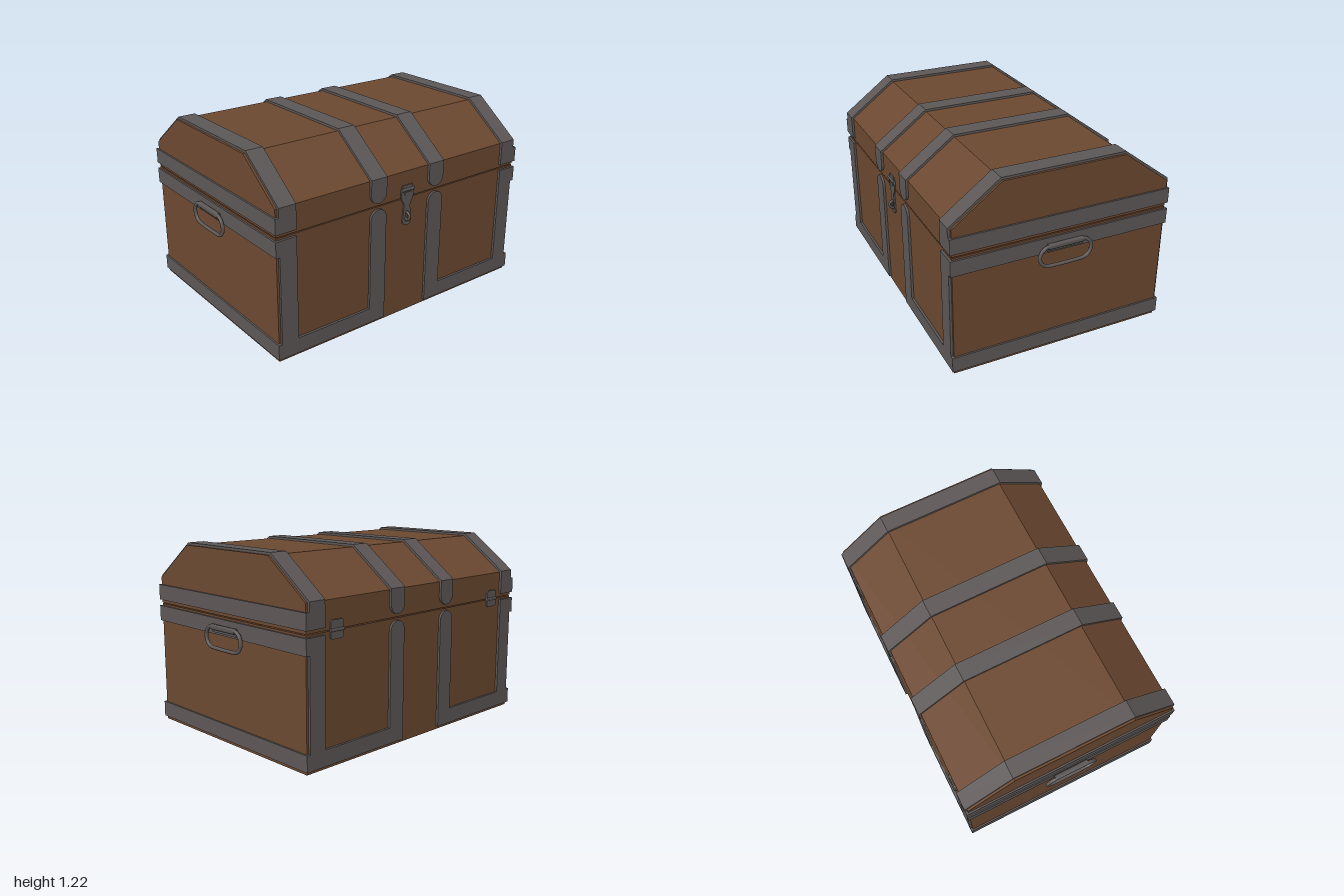
import * as THREE from 'three';

const W = 0.957, D = 0.7075, T = 0.015; // wood half width, wood half depth, strap thickness

export function createModel() {
  const root = new THREE.Group();
  root.name = 'chest';
  const chest = new THREE.Group();
  chest.name = 'chestParts';
  chest.position.z = -0.0125;
  root.add(chest);

  const wood = new THREE.MeshStandardMaterial({ color: 0x6b4830 });
  wood.name = 'brownWood';
  const iron = new THREE.MeshStandardMaterial({ color: 0x5c5756 });
  iron.name = 'greyIron';

  const add = (parent, name, geo, mat, x = 0, y = 0, z = 0) => {
    const m = new THREE.Mesh(geo, mat);
    m.name = name;
    m.position.set(x, y, z);
    parent.add(m);
    return m;
  };
  const plate = (shape, depth) => new THREE.ExtrudeGeometry(shape, { depth, bevelEnabled: false, curveSegments: 16 });
  const polygon = (pts) => new THREE.Shape(pts.map(([x, y]) => new THREE.Vector2(x, y)));

  // Extrude a (z, y) outline along x between x0 and x1
  const alongX = (pts, x0, x1) => {
    const g = plate(polygon(pts), x1 - x0);
    g.rotateY(-Math.PI / 2);
    g.translate(x1, 0, 0);
    return g;
  };
  // Six-sided lid outline; bottom, shoulder and top heights with half depths
  const lidOutline = (y0, d, yS, dTop, yT) =>
    [[-d, y0], [d, y0], [d, yS], [dTop, yT], [-dTop, yT], [-d, yS]];

  // Wooden body and lid with a hairline gap
  add(chest, 'body', new THREE.BoxGeometry(2 * W, 0.793, 2 * D), wood, 0, 0.3965, 0);
  add(chest, 'lid', alongX(lidOutline(0.799, D, 0.97, 0.397, 1.2), -W, W), wood);

  // Straps running over the lid
  const strap = (name, x0, x1, y0) =>
    add(chest, name, alongX(lidOutline(y0, D + T, 0.9775, 0.402, 1.2 + T), x0, x1), iron);
  for (const s of [-1, 1]) {
    const [a, b] = s > 0 ? [0.8275, 0.9425] : [-0.9425, -0.8275];
    strap('outerLidStrap', a, b, 0.82);
    const [c, d] = s > 0 ? [0.1725, 0.2925] : [-0.2925, -0.1725];
    strap('innerLidStrap', c, d, 0.88);
  }

  // Ironwork shared by the front and back
  for (const face of [0, Math.PI]) {
    const side = new THREE.Group();
    side.name = face ? 'backIronwork' : 'frontIronwork';
    side.rotation.y = face;
    chest.add(side);
    for (const s of [-1, 1]) {
      const frame = polygon([
        [0.1725, 0.02], [0.968, 0.02], [0.968, 0.12], [0.9425, 0.12], [0.9425, 0.68], [0.968, 0.68],
        [0.968, 0.78], [0.8275, 0.78], [0.8275, 0.12], [0.2925, 0.12], [0.2925, 0.72],
      ].map(([x, y]) => [s * x, y]));
      frame.absarc(s * 0.2325, 0.72, 0.06, s > 0 ? 0 : Math.PI, s > 0 ? Math.PI : 0, s < 0);
      add(side, 'bodyFrame', plate(frame, T), iron, 0, 0, D);

      // Rounded lower end of the inner lid strap
      const end = new THREE.Shape();
      end.absarc(s * 0.2325, 0.88, 0.06, Math.PI, 2 * Math.PI, false);
      add(side, 'strapEnd', plate(end, T), iron, 0, 0, D);
      // Corner wrap of the lid band
      add(side, 'lidCorner', new THREE.BoxGeometry(0.0255, 0.1, T), iron, s * 0.95525, 0.87, D + T / 2);
    }
  }

  // Bands and hanging handles on both ends
  for (const s of [-1, 1]) {
    for (const y of [0.07, 0.73, 0.87]) {
      add(chest, 'sideBand', new THREE.BoxGeometry(0.011, 0.1, 2 * (D + T)), iron, s * (W + 0.0055), y, 0);
    }
    const handle = new THREE.Group();
    handle.name = 'handle';
    handle.position.set(s * 0.988, 0.667, 0);
    chest.add(handle);
    const pts = [];
    for (const e of [1, -1]) {
      for (let i = 0; i <= 10; i++) {
        const a = -Math.PI / 2 + (i / 10) * Math.PI;
        pts.push(new THREE.Vector3(0, e * Math.sin(a) * 0.066, e * (0.106 + Math.cos(a) * 0.066)));
      }
    }
    add(handle, 'handleRing', new THREE.TubeGeometry(new THREE.CatmullRomCurve3(pts, true), 96, 0.0115, 10, true), iron);
    const barrel = new THREE.CylinderGeometry(0.018, 0.018, 0.235, 16).rotateX(Math.PI / 2);
    add(handle, 'handleBarrel', barrel, iron, -s * 0.007, 0.06, 0);
    add(handle, 'handleMount', new THREE.BoxGeometry(0.014, 0.036, 0.235), iron, -s * 0.016, 0.045, 0);
  }

  // Hinges on the back
  const leaf = new THREE.Shape();
  leaf.moveTo(-0.03, -0.055).lineTo(0.03, -0.055).quadraticCurveTo(0.05, -0.055, 0.05, -0.035)
    .lineTo(0.05, 0.035).quadraticCurveTo(0.05, 0.055, 0.03, 0.055)
    .lineTo(-0.03, 0.055).quadraticCurveTo(-0.05, 0.055, -0.05, 0.035)
    .lineTo(-0.05, -0.035).quadraticCurveTo(-0.05, -0.055, -0.03, -0.055);
  for (const x of [-0.73, 0.73]) {
    add(chest, 'hingeLeaf', plate(leaf, 0.01), iron, x, 0.8, -D - 0.01);
    add(chest, 'hingeBarrel', new THREE.CylinderGeometry(0.01, 0.01, 0.1, 12).rotateZ(Math.PI / 2), iron, x, 0.797, -D - 0.006);
  }

  // Hasp with a slot, its hinge and the staple
  const hasp = new THREE.Shape();
  hasp.moveTo(-0.05, 0.85).lineTo(-0.05, 0.81).quadraticCurveTo(-0.048, 0.79, -0.03, 0.765)
    .lineTo(-0.024, 0.745).lineTo(-0.034, 0.645);
  hasp.absarc(0, 0.645, 0.034, Math.PI, 2 * Math.PI, false);
  hasp.lineTo(0.024, 0.745).lineTo(0.03, 0.765).quadraticCurveTo(0.048, 0.79, 0.05, 0.81).lineTo(0.05, 0.85);
  const slot = new THREE.Path();
  slot.absarc(0, 0.695, 0.013, 0, Math.PI, false);
  slot.absarc(0, 0.65, 0.013, Math.PI, 2 * Math.PI, false);
  hasp.holes.push(slot);
  add(chest, 'hasp', plate(hasp, 0.009), iron, 0, 0, D);
  add(chest, 'haspMount', new THREE.BoxGeometry(0.08, 0.03, 0.008), iron, 0, 0.865, D + 0.004);
  add(chest, 'haspBarrel', new THREE.CylinderGeometry(0.01, 0.01, 0.104, 12).rotateZ(Math.PI / 2), iron, 0, 0.85, D + 0.007);
  const boss = new THREE.Shape();
  boss.absarc(0, 0.835, 0.028, Math.PI, 2 * Math.PI, false);
  add(chest, 'haspBoss', plate(boss, 0.013), iron, 0, 0, D);
  add(chest, 'staple', new THREE.TorusGeometry(0.024, 0.008, 10, 28).rotateY(Math.PI / 2), iron, 0, 0.675, D + 0.008);

  return root;
}
